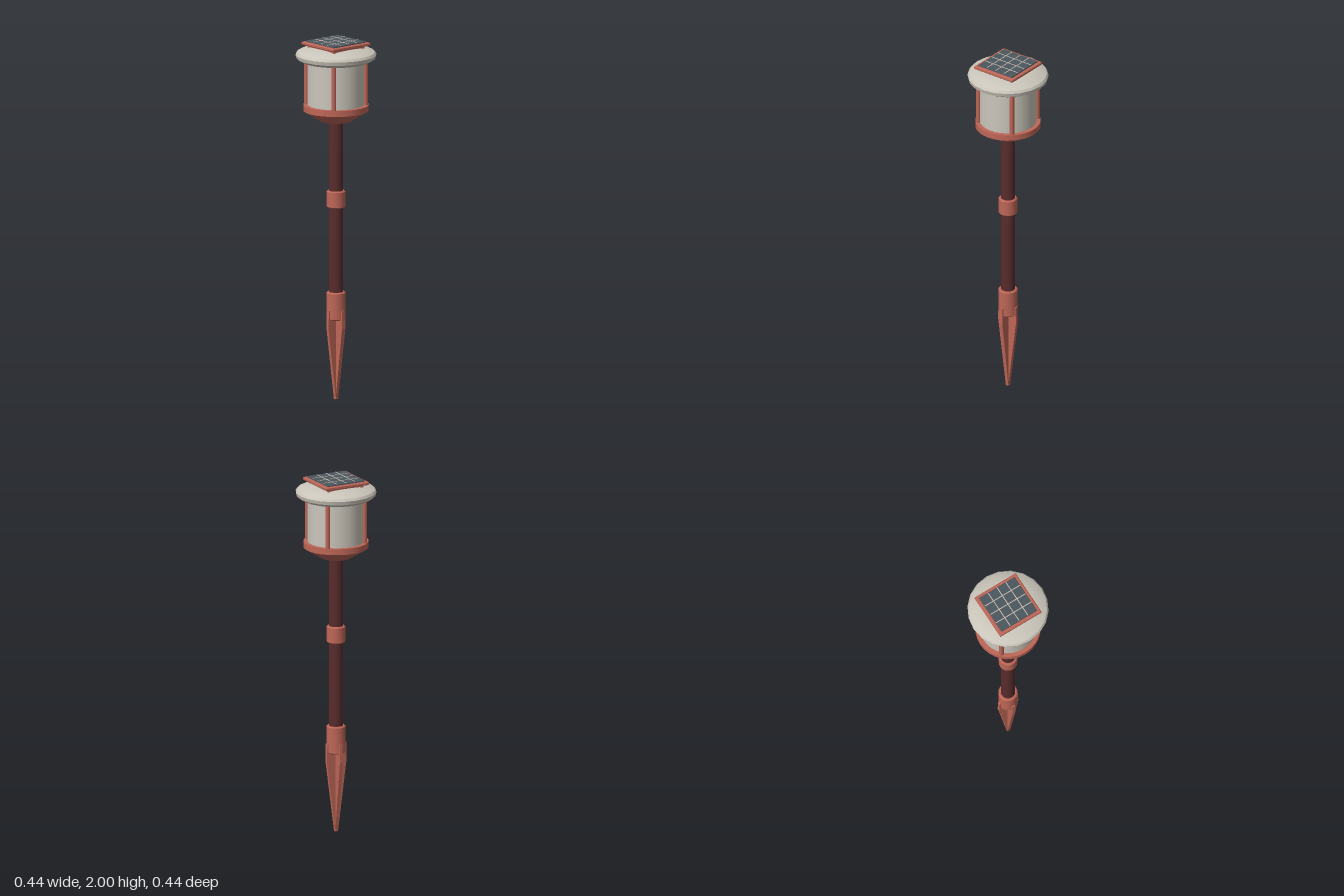
import * as THREE from 'three';
import { toCreasedNormals } from 'three/addons/utils/BufferGeometryUtils.js';

const mat = (name, color) => {
  const m = new THREE.MeshStandardMaterial({ color });
  m.name = name;
  return m;
};

export function createModel() {
  const terracotta = mat('terracotta', 0xbe6657);
  const maroon = mat('dark maroon', 0x592c2d);
  const cream = mat('warm grey', 0xcbc6bb);
  const slate = mat('slate', 0x4c565e);
  const lineGrey = mat('grid line', 0xc4bab0);

  const root = new THREE.Group();
  root.name = 'solarGardenLight';
  const add = (name, geometry, material, x = 0, y = 0, z = 0, parent = root) => {
    const mesh = new THREE.Mesh(geometry, material);
    mesh.name = name;
    mesh.position.set(x, y, z);
    parent.add(mesh);
    return mesh;
  };
  // Turned part from [radius, height] points listed bottom to top
  const turned = (points, sides, crease = 0.5) => toCreasedNormals(
    new THREE.LatheGeometry(points.map(([r, y]) => new THREE.Vector2(r, y)), sides), crease);
  // Short sleeve with softened rims
  const sleeve = (r, y0, y1, b = 0.006) => turned(
    [[0, y0], [r - b, y0], [r, y0 + b], [r, y1 - b], [r - b, y1], [0, y1]], 24);
  // Square plate with chamfered edges, lying flat, bottom at y = 0
  const plate = (half, height, bevel) => {
    const h = half - bevel;
    const s = new THREE.Shape();
    s.moveTo(-h, -h).lineTo(h, -h).lineTo(h, h).lineTo(-h, h).closePath();
    return new THREE.ExtrudeGeometry(s, {
      depth: height - 2 * bevel, bevelEnabled: true, bevelSize: bevel, bevelThickness: bevel, bevelSegments: 1,
    }).translate(0, 0, bevel).rotateX(-Math.PI / 2);
  };

  // Ground spike: two crossed tapering fins under a socket
  const spike = new THREE.Group();
  spike.name = 'groundSpike';
  root.add(spike);
  const fin = new THREE.Shape();
  fin.moveTo(-0.008, 0).lineTo(0.008, 0).lineTo(0.061, 0.4).lineTo(0.059, 0.5)
    .lineTo(-0.059, 0.5).lineTo(-0.061, 0.4).closePath();
  const finGeometry = new THREE.ExtrudeGeometry(fin, { depth: 0.018, bevelEnabled: false }).translate(0, 0, -0.009);
  for (let i = 0; i < 2; i++) {
    add('spikeFin', finGeometry, terracotta, 0, 0, 0, spike).rotation.y = i * Math.PI / 2;
  }
  add('spikeSocket', sleeve(0.053, 0.445, 0.6), terracotta, 0, 0, 0, spike);

  // Pole and its joint
  add('pole', new THREE.CylinderGeometry(0.039, 0.039, 0.98, 24), maroon, 0, 1.08, 0);
  add('poleCollar', sleeve(0.051, 1.07, 1.165), terracotta);

  // Lamp head
  add('lampBase', turned([[0, 1.553], [0.083, 1.553], [0.179, 1.612], [0.179, 1.645], [0, 1.645]], 32), terracotta);
  add('lens', new THREE.CylinderGeometry(0.156, 0.156, 0.25, 32), cream, 0, 1.767, 0);
  const post = new THREE.CylinderGeometry(0.013, 0.013, 0.25, 12);
  for (const x of [-0.115, 0.115]) {
    for (const z of [-0.115, 0.115]) add('lensPost', post, terracotta, x, 1.767, z);
  }
  add('cap', turned([
    [0, 1.888], [0.19, 1.888], [0.217, 1.905], [0.222, 1.925], [0.214, 1.938],
    [0.185, 1.952], [0.14, 1.963], [0.07, 1.968], [0, 1.97],
  ], 20, 0.55), cream);

  // Solar panel with a four by four cell grid
  const panel = new THREE.Group();
  panel.name = 'solarPanel';
  root.add(panel);
  add('panelMount', new THREE.BoxGeometry(0.22, 0.02, 0.22), terracotta, 0, 1.968, 0, panel);
  add('panelFrame', plate(0.133, 0.018, 0.004), terracotta, 0, 1.974, 0, panel);
  add('panelCells', plate(0.115, 0.012, 0.002), slate, 0, 1.987, 0, panel);
  for (const t of [-0.0575, 0, 0.0575]) {
    add('gridLine', new THREE.BoxGeometry(0.005, 0.002, 0.226), lineGrey, t, 1.999, 0, panel);
    add('gridLine', new THREE.BoxGeometry(0.226, 0.002, 0.005), lineGrey, 0, 1.999, t, panel);
  }
  return root;
}
